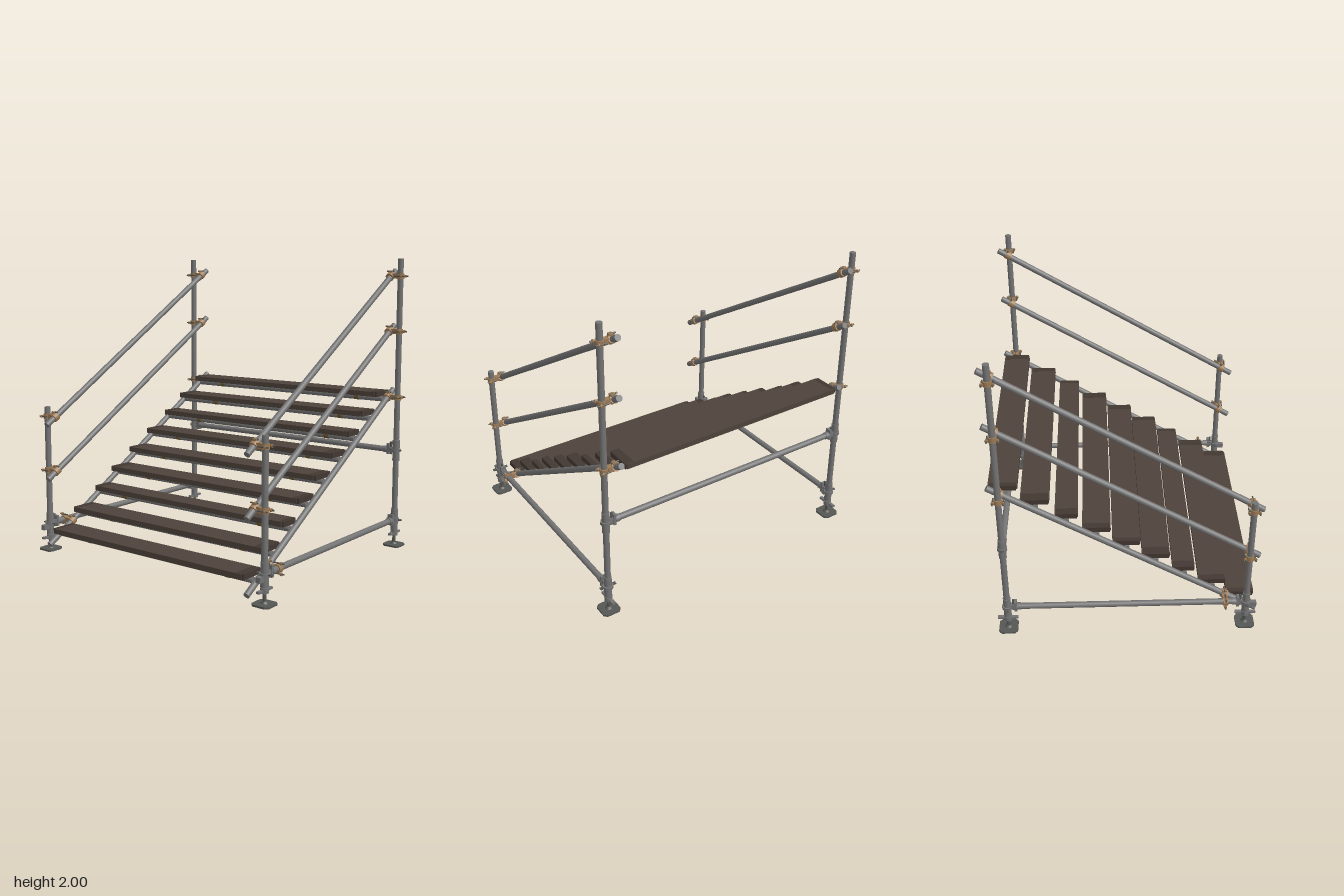
import * as THREE from 'three';

const mat = (name, color) => {
  const m = new THREE.MeshStandardMaterial({ color });
  m.name = name;
  return m;
};

export function createModel() {
  const steel = mat('galvanised steel', 0x737373);
  const darkSteel = mat('dark steel', 0x555754);
  const bronze = mat('coupler bronze', 0x9c7a55);
  const clipBrass = mat('clip brass', 0x6b5630);
  const wood = mat('tread brown', 0x4e423b);
  const woodEnd = mat('tread end brown', 0x433832);
  const model = new THREE.Group();
  model.name = 'scaffoldStair';

  const V = (x, y, z) => new THREE.Vector3(x, y, z);
  const UP = V(0, 1, 0);
  const add = (geo, m, name, x = 0, y = 0, z = 0, parent = model) => {
    const mesh = new THREE.Mesh(geo, m);
    mesh.name = name;
    mesh.position.set(x, y, z);
    parent.add(mesh);
    return mesh;
  };
  // straight round bar between two points
  const bar = (a, b, r, m, name, parent = model, sides = 20) => {
    const d = b.clone().sub(a);
    const c = a.clone().add(b).multiplyScalar(0.5);
    const mesh = add(new THREE.CylinderGeometry(r, r, d.length(), sides), m, name, c.x, c.y, c.z, parent);
    mesh.quaternion.setFromUnitVectors(UP, d.normalize());
    return mesh;
  };
  const ring = (c, axis, r, h, m, name, parent) => {
    const o = axis.clone().normalize().multiplyScalar(h / 2);
    return bar(c.clone().sub(o), c.clone().add(o), r, m, name, parent);
  };
  const box = (w, h, d, m, name, x, y, z, parent) =>
    add(new THREE.BoxGeometry(w, h, d), m, name, x, y, z, parent);

  const PX = 0.915, PZ = 0.78, RX = 0.84, R = 0.02, SLOPE = -0.604;
  const railDir = V(0, SLOPE, 1).normalize();

  // clamp joining an upright or ledger (outer) to a sloping rail (inner)
  const coupler = (s, y, z, outerAxis) => {
    const g = new THREE.Group();
    g.name = 'coupler';
    model.add(g);
    const vertical = outerAxis.y > 0.5;
    ring(V(s * PX, y, z), outerAxis, 0.027, 0.034, bronze, 'outerCollar', g);
    ring(V(s * RX, y, z), railDir, 0.029, 0.036, bronze, 'railCollar', g);
    box(0.03, 0.034, 0.034, bronze, 'couplerBridge', s * 0.877, y, z, g);
    // swing bolts with nuts
    const oz = vertical ? 0.032 : 0, oy = vertical ? 0 : 0.032;
    for (const k of [-1, 1]) {
      bar(V(s * 0.885, y + k * oy, z + k * oz), V(s * 0.957, y + k * oy, z + k * oz), 0.005, darkSteel, 'swingBolt', g, 8);
      bar(V(s * 0.932, y + k * oy, z + k * oz), V(s * 0.943, y + k * oy, z + k * oz), 0.011, bronze, 'boltNut', g, 6);
    }
    bar(V(s * 0.865, y + 0.033, z), V(s * 0.813, y + 0.033, z), 0.005, darkSteel, 'railBolt', g, 8);
    box(0.026, 0.012, 0.03, bronze, 'railBoltLug', s * 0.846, y + 0.031, z, g);
  };

  // bracketed head at the end of a ledger; dir points from the post along the ledger
  const ledgerHead = (x, y, z, dir) => {
    const g = new THREE.Group();
    g.name = 'ledgerHead';
    g.position.set(x, y, z);
    g.rotation.y = Math.atan2(dir.x, dir.z);
    model.add(g);
    box(0.03, 0.035, 0.045, steel, 'headLug', 0, 0, 0.04, g);
    box(0.04, 0.075, 0.018, steel, 'headPlate', 0, 0.006, 0.055, g);
    box(0.008, 0.09, 0.014, darkSteel, 'wedge', 0, 0.012, 0.04, g);
    ring(V(0, 0, 0.075), V(0, 0, 1), 0.024, 0.03, steel, 'headSocket', g);
  };

  // base plate outline with chamfered corners
  const e = 0.062, c = 0.042;
  const plate = new THREE.Shape([[-c, -e], [c, -e], [e, -c], [e, c], [c, e], [-c, e], [-e, c], [-e, -c]]
    .map(p => new THREE.Vector2(...p)));
  const plateGeo = new THREE.ExtrudeGeometry(plate, { depth: 0.012, bevelEnabled: false });
  plateGeo.rotateX(-Math.PI / 2);

  // uprights with adjustable bases
  for (const s of [-1, 1]) for (const f of [-1, 1]) {
    const x = s * PX, z = f * PZ;
    bar(V(x, 0.1, z), V(x, f > 0 ? 1 : 2, z), R, steel, f > 0 ? 'frontPost' : 'backPost');
    add(plateGeo, darkSteel, 'basePlate', x, 0, z);
    add(new THREE.CylinderGeometry(0.014, 0.026, 0.014, 16), darkSteel, 'plateBoss', x, 0.018, z);
    bar(V(x, 0.01, z), V(x, 0.12, z), 0.011, darkSteel, 'jackScrew');
    ring(V(x, 0.09, z), UP, 0.026, 0.032, steel, 'jackNut');
    box(0.022, 0.014, 0.135, steel, 'jackHandle', x, 0.09, z);
    // socket collar and flange at the ledger level
    bar(V(x, 0.11, z), V(x, 0.26, z), 0.025, steel, 'baseCollar');
    ring(V(x, 0.185, z), UP, 0.034, 0.02, steel, 'collarFlange');
    box(0.11, 0.008, 0.02, darkSteel, 'collarPin', x, 0.187, z);
    if (f > 0) box(0.03, 0.034, 0.06, steel, 'frontLug', x, 0.165, z + 0.038);
  }

  for (const s of [-1, 1]) {
    // low side ledger
    bar(V(s * PX, 0.187, -0.7), V(s * PX, 0.187, 0.7), R, steel, 'sideLedger');
    ledgerHead(s * PX, 0.187, -PZ, V(0, 0, 1));
    ledgerHead(s * PX, 0.187, PZ, V(0, 0, -1));
    // stringer and two handrails
    bar(V(s * RX, 0.06, 0.855), V(s * RX, 1.094, -0.855), R, steel, 'stringer');
    bar(V(s * RX, 0.514, 0.855), V(s * RX, 1.542, -0.848), R, steel, 'midRail');
    bar(V(s * RX, 0.888, 0.855), V(s * RX, 1.916, -0.848), R, steel, 'handRail');
    // couplers
    for (const y of [1.05, 1.505, 1.88]) coupler(s, y, -PZ, UP);
    for (const y of [0.562, 0.935]) coupler(s, y, PZ, UP);
    coupler(s, 0.187, 0.645, V(0, 0, 1));
    // joint sleeve on the back post
    bar(V(s * PX, 0.607, -PZ), V(s * PX, 0.75, -PZ), 0.025, steel, 'postSleeve');
    ring(V(s * PX, 0.68, -PZ), UP, 0.032, 0.02, steel, 'sleeveFlange');
    box(0.07, 0.01, 0.02, darkSteel, 'sleevePin', s * PX, 0.68, -PZ);
    ledgerHead(s * PX, 0.68, -PZ, V(-s, 0, 0));
  }
  bar(V(-0.84, 0.68, -PZ), V(0.84, 0.68, -PZ), R, steel, 'backLedger');

  // treads: [centre z, depth, left clip x, right clip x], from bottom to top
  const treads = [
    [0.755, 0.18, -0.54, 0.63], [0.565, 0.18, -0.52, 0.6], [0.373, 0.145, -0.57, 0.59],
    [0.19, 0.18, -0.52, 0.54], [0, 0.18, -0.54, 0.58], [-0.19, 0.18, -0.57, 0.58],
    [-0.378, 0.145, -0.52, 0.6], [-0.57, 0.18, -0.51, 0.59], [-0.76, 0.18, -0.59, 0.61],
  ];
  treads.forEach(([z, d, c0, c1], i) => {
    const y = 0.142 + i * 0.1141; // underside of board
    const tz = (0.577 - (y - 0.02)) / -SLOPE;
    box(1.6, 0.034, d, wood, 'treadBoard', -0.003, y + 0.017, z);
    for (const s of [-1, 1]) {
      const w = 0.035 + 0.012 * ((i * 5 + s + 1) % 4);
      box(w, 0.035, d - 0.012, woodEnd, 'treadEnd', s * (0.812 - w / 2) - 0.003, y + 0.0172, z);
    }
    bar(V(-0.822, y - 0.019, tz), V(0.815, y - 0.019, tz), R, steel, 'treadTube');
    // strap clips holding the board to its tube
    for (const x of [c0, c1]) {
      ring(V(x, y - 0.019, tz), V(1, 0, 0), 0.0215, 0.036, clipBrass, 'tubeClip');
      box(0.036, 0.006, 0.09, clipBrass, 'clipStrap', x, y - 0.002, tz);
    }
  });
  return model;
}
